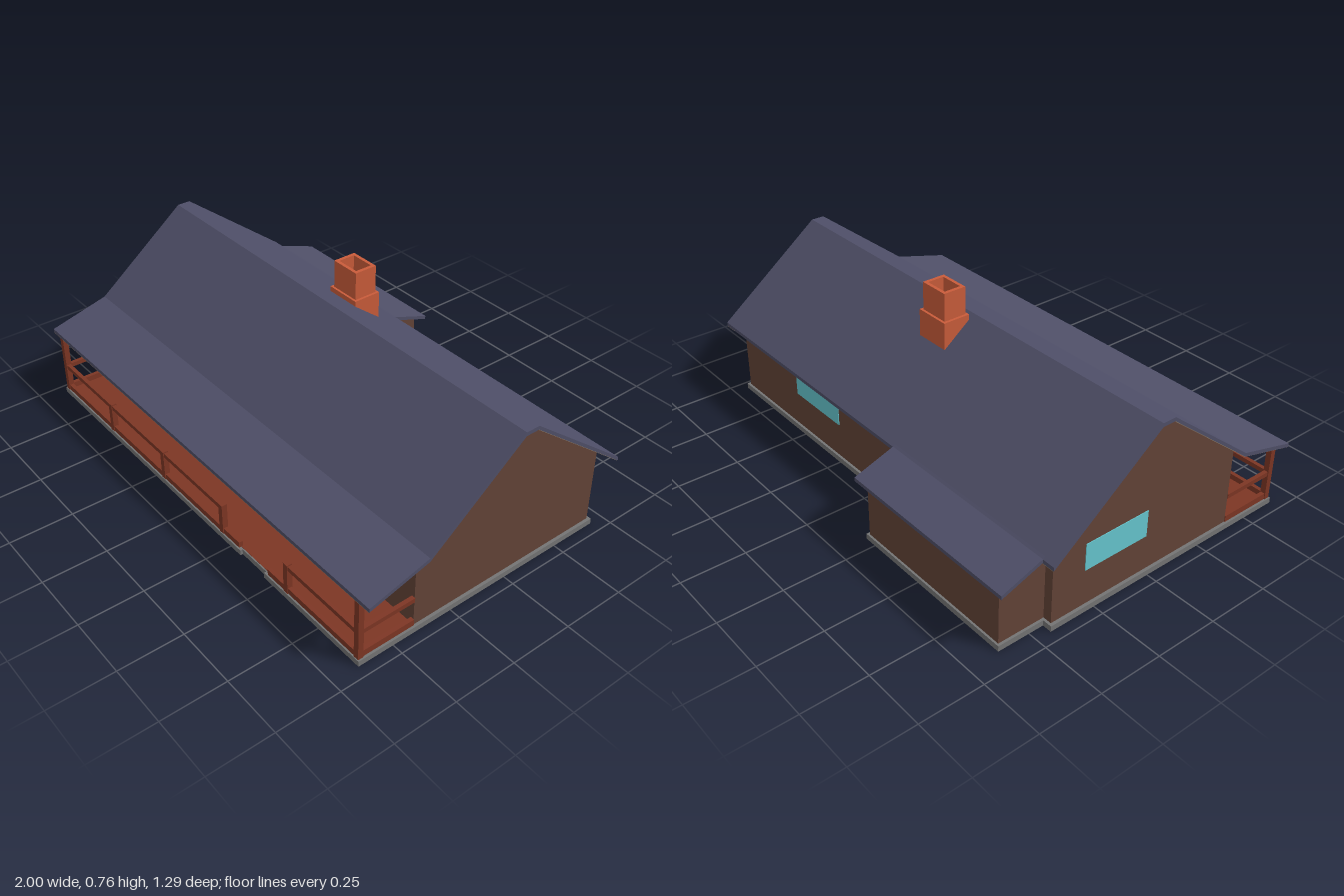
import * as THREE from 'three';

const mat = (name, color) => {
  const m = new THREE.MeshStandardMaterial({ color });
  m.name = name;
  return m;
};

export function createModel() {
  const M = {
    roof: mat('slate roof', 0x4f4f68),
    wall: mat('brown wall', 0x634337),
    timber: mat('red timber', 0x7d3624),
    glass: mat('window glass', 0x66c6ce),
    door: mat('tan door', 0xa8917a),
    soffit: mat('tan soffit', 0x8a7a68),
    brick: mat('chimney brick', 0xc95c3a),
    stone: mat('grey foundation', 0x747474),
  };
  const house = new THREE.Group();
  house.name = 'house';

  const add = (name, geo, material) => {
    const mesh = new THREE.Mesh(geo, material);
    mesh.name = name;
    house.add(mesh);
    return mesh;
  };
  // Box given by its limits on each axis
  const box = (name, material, x0, x1, y0, y1, z0, z1) => {
    const g = new THREE.BoxGeometry(x1 - x0, y1 - y0, z1 - z0);
    g.translate((x0 + x1) / 2, (y0 + y1) / 2, (z0 + z1) / 2);
    return add(name, g, material);
  };
  // Side profile of [z, y] points, swept from x0 to x1
  const sweep = (name, material, pts, x0, x1) => {
    const s = new THREE.Shape(pts.map(([z, y]) => new THREE.Vector2(-z, y)));
    const g = new THREE.ExtrudeGeometry(s, { depth: x1 - x0, bevelEnabled: false });
    g.rotateY(Math.PI / 2).translate(x0, 0, 0);
    return add(name, g, material);
  };
  const lower = (pts, t) => pts.map(([z, y]) => [z, y - t]);
  const band = (pts, t) => [...pts, ...lower(pts, t).reverse()];

  // Roofs
  const T = 0.015;
  const main = [[0.643, 0.286], [0.4, 0.35], [0.015, 0.652], [-0.04, 0.652], [-0.48, 0.312]];
  const lean = [[-0.465, 0.323], [-0.48, 0.313], [-0.645, 0.256]];
  sweep('mainRoof', M.roof, band(main, T), -1, 1);
  sweep('extensionRoof', M.roof, band(lean, T), -0.95, -0.17);

  // Soffits under the porch and the gable overhangs
  const under = lower(main, T);
  sweep('porchSoffit', M.soffit, band(under.slice(0, 2), 0.002), -0.945, 0.945);
  for (const x of [-0.998, 0.946]) sweep('gableSoffit', M.soffit, band(under, 0.002), x, x + 0.052);

  // Walls are thin shells, open underneath
  const W = 0.004, F = 0.022, X = 0.945, ZF = 0.405, ZB = -0.43;
  const gable = [[ZF, F], [ZF, 0.338], [0.015, 0.638], [-0.04, 0.638], [ZB, 0.336], [ZB, F]];
  sweep('rightGableWall', M.wall, gable, -X, -X + W);
  sweep('leftGableWall', M.wall, gable, X - W, X);
  box('frontWall', M.wall, -X, X, F, 0.336, ZF - W, ZF);
  const EX0 = -0.91, EX1 = -0.21, EZ = -0.62;
  box('backWall', M.wall, EX1, X, F, 0.336, ZB, ZB + W);
  box('backWallEnd', M.wall, -X, EX0, F, 0.336, ZB, ZB + W);
  const cheek = [[ZB, F], [ZB, 0.336], [-0.475, 0.302], [EZ, 0.25], [EZ, F]];
  sweep('extensionRightWall', M.wall, cheek, EX0, EX0 + W);
  sweep('extensionLeftWall', M.wall, cheek, EX1 - W, EX1);
  box('extensionBackWall', M.wall, EX0, EX1, F, 0.25, EZ, EZ + W);

  // Windows show on both faces of the walls
  const D = 0.0025;
  box('frontWindow', M.glass, -0.505, -0.26, 0.167, 0.272, ZF - W - D, ZF + D);
  box('backWindow', M.glass, 0.255, 0.55, 0.165, 0.272, ZB - D, ZB + W + D);
  box('gableWindow', M.glass, -X - D, -X + W + D, 0.165, 0.272, -0.29, -0.01);

  // Door with its frame, and a pane on the inside
  box('door', M.door, 0.305, 0.455, F, 0.262, ZF - W - D, ZF + D);
  for (const x of [0.296, 0.455]) box('doorJamb', M.door, x, x + 0.009, F, 0.272, ZF - W, ZF + 0.006);
  box('doorLintel', M.door, 0.305, 0.455, 0.262, 0.272, ZF - W, ZF + 0.006);
  box('doorInnerPane', M.glass, 0.305, 0.455, 0.205, 0.27, ZF - W - 0.005, ZF - W - 0.001);

  // Foundation rim
  const R = 0.022, S = 0.957;
  box('frontRim', M.stone, -S, S, 0, F, 0.622, 0.635);
  box('frontRimOuter', M.stone, -S, 0.31, 0, F, 0.635, 0.645);
  box('frontRimOuter', M.stone, 0.45, S, 0, F, 0.635, 0.645);
  for (const x of [-S, S - R]) box('sideRim', M.stone, x, x + R, 0, F, -0.44, 0.622);
  box('backRim', M.stone, -0.2, S - R, 0, F, -0.44, -0.44 + R);
  box('backRimEnd', M.stone, -S + R, -0.92 + R, 0, F, -0.44, -0.44 + R);
  for (const x of [-0.92, -0.2 - R]) box('extensionSideRim', M.stone, x, x + R, 0, F, -0.628, -0.44 + R);
  box('extensionBackRim', M.stone, -0.92 + R, -0.2 - R, 0, F, -0.628, -0.628 + R);

  // Porch deck, posts and railings
  box('porchDeck', M.timber, -S + R, S - R, 0.003, F + 0.001, ZF - W, 0.63);
  const Z0 = 0.62, Z1 = 0.642, P = 0.011;
  for (const side of [-1, 1]) {
    const x = side * 0.94;
    box('cornerPost', M.timber, x - P, x + P, F, 0.276, Z0, Z1);
    box('sideRail', M.timber, x - 0.008, x + 0.008, 0.125, 0.143, ZF, Z0);
    box('sideKickboard', M.timber, x - 0.008, x + 0.008, F, 0.047, ZF, Z0);
  }
  for (const x of [-0.575, -0.195, 0.19, 0.57]) {
    box('railPost', M.timber, x - P, x + P, F, 0.148, Z0, Z1);
  }
  for (const [a, b] of [[-0.93, 0.19], [0.57, 0.93]]) {
    box('frontRail', M.timber, a, b, 0.125, 0.143, Z0 + 0.003, Z1 - 0.003);
  }
  for (const [a, b] of [[-0.93, 0.295], [0.465, 0.93]]) {
    box('frontKickboard', M.timber, a, b, F, 0.045, Z0 + 0.003, Z1 - 0.003);
  }

  // Chimney: base cut to the roof slope, hollow stack above
  sweep('chimneyBase', M.brick,
    [[-0.062, 0.63], [-0.062, 0.655], [-0.175, 0.655], [-0.175, 0.542]], -0.075, 0.07);
  const rect = (C, hx, hz) => new C([[-hx, -hz], [hx, -hz], [hx, hz], [-hx, hz]]
    .map(([x, y]) => new THREE.Vector2(x, y)));
  const stack = rect(THREE.Shape, 0.062, 0.047);
  stack.holes.push(rect(THREE.Path, 0.048, 0.034));
  const g = new THREE.ExtrudeGeometry(stack, { depth: 0.11, bevelEnabled: false });
  g.rotateX(-Math.PI / 2).translate(-0.002, 0.655, -0.118);
  add('chimneyStack', g, M.brick);

  return house;
}
